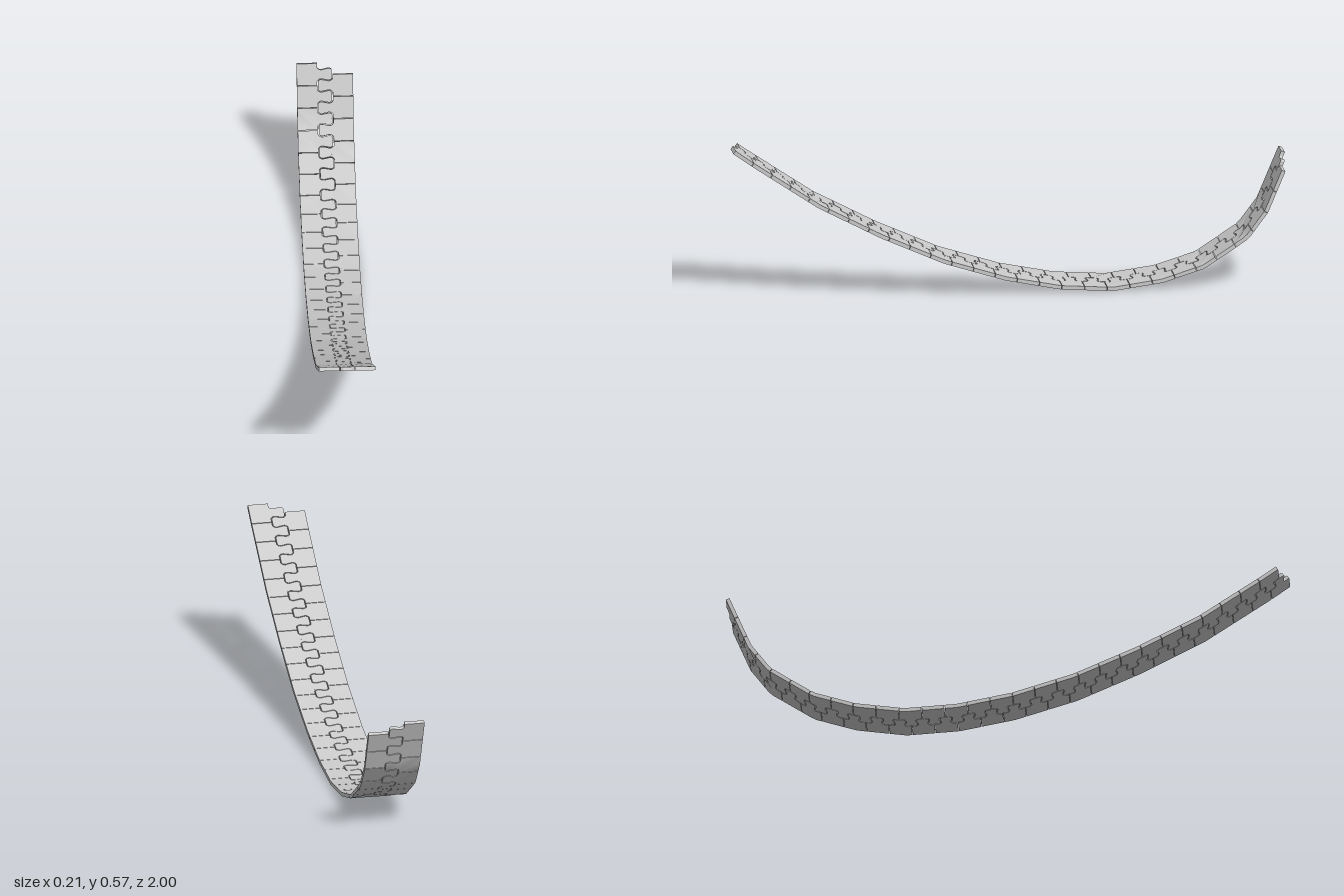
import * as THREE from 'three';
import { toCreasedNormals } from 'three/addons/utils/BufferGeometryUtils.js';

const LINKS = 28, HALF_WIDTH = 0.1, THICK = 0.014, GAP = 0.003, AMP = 0.026;

// Sagging centre line of the band as (z, y), front to back
const path = [
  [0.996, 0.561], [0.92, 0.506], [0.69, 0.35], [0.465, 0.231], [0.24, 0.13],
  [0.02, 0.06], [-0.177, 0.02], [-0.364, 0.007], [-0.54, 0.03], [-0.69, 0.076],
  [-0.846, 0.178], [-0.915, 0.27], [-0.9935, 0.457],
].map(([z, y]) => new THREE.Vector2(z, y));

// Running length and upward normal at each path point
const lengths = [0];
for (let i = 1; i < path.length; i++) lengths.push(lengths[i - 1] + path[i].distanceTo(path[i - 1]));
const normals = path.map((_, i) => {
  const a = path[Math.max(i - 1, 0)], b = path[Math.min(i + 1, path.length - 1)];
  const d = b.clone().sub(a).normalize();
  return new THREE.Vector2(d.y, -d.x);
});
const PITCH = lengths[lengths.length - 1] / (LINKS + 0.5);

// Places a point (x across, s along, w above the centre line) on the band
function bend(v) {
  let i = 0;
  while (i < path.length - 2 && v.y > lengths[i + 1]) i++;
  const t = (v.y - lengths[i]) / (lengths[i + 1] - lengths[i]);
  const p = path[i].clone().lerp(path[i + 1], t);
  const n = normals[i].clone().lerp(normals[i + 1], t).normalize();
  p.addScaledVector(n, v.z);
  return v.set(v.x + 0.005 * p.x, p.y, p.x);
}

// Flat plate with a rounded dovetail tooth pointing to +x, centred on s = 0
function plateOutline() {
  const half = [
    [-0.5, -1], [-0.4, -1], [-0.29, -0.97], [-0.22, -0.62], [-0.25, 0],
    [-0.28, 0.62], [-0.21, 0.97], [-0.1, 1],
  ];
  const mirrored = half.map(([u, x]) => [-u, x]).reverse();
  const curve = new THREE.CatmullRomCurve3([...half, [0, 1], ...mirrored]
    .map(([u, x]) => new THREE.Vector3(x * AMP, u * PITCH, 0)));
  const limit = (PITCH - GAP * 0.7) / 2;
  const points = [];
  for (let i = 0; i <= 48; i++) {
    const p = curve.getPoint(i / 48), d = curve.getTangent(i / 48);
    // step back from the shared seam to leave a gap
    points.push(new THREE.Vector2(
      p.x - d.y * GAP / 2,
      THREE.MathUtils.clamp(p.y + d.x * GAP / 2, -limit, limit)));
  }
  // outer edge, split so that it can follow the bend
  for (const k of [1, 0.5, 0, -0.5, -1]) points.push(new THREE.Vector2(-HALF_WIDTH, k * limit));
  return points;
}

const outline = plateOutline();

// One plate; side is the x direction of its outer edge
function plateGeometry(side, centre) {
  const shape = new THREE.Shape(outline.map(p => new THREE.Vector2(-side * p.x, centre + p.y)));
  const geometry = new THREE.ExtrudeGeometry(shape, { depth: THICK, bevelEnabled: false });
  geometry.translate(0, 0, -THICK / 2);
  const pos = geometry.attributes.position, v = new THREE.Vector3();
  for (let i = 0; i < pos.count; i++) {
    bend(v.fromBufferAttribute(pos, i));
    pos.setXYZ(i, v.x, v.y, v.z);
  }
  return toCreasedNormals(geometry, 0.6);
}

export function createModel() {
  const model = new THREE.Group();
  model.name = 'interlockingBand';
  const material = new THREE.MeshStandardMaterial({ color: 0xcccccc });

  // Two rows of plates, the right row half a plate further back
  for (const [name, side, offset] of [['left', 1, 0.5], ['right', -1, 1]]) {
    const row = new THREE.Group();
    row.name = name + 'Row';
    for (let i = 0; i < LINKS; i++) {
      const plate = new THREE.Mesh(plateGeometry(side, (i + offset) * PITCH), material);
      plate.name = name + 'Plate';
      row.add(plate);
    }
    model.add(row);
  }
  return model;
}
